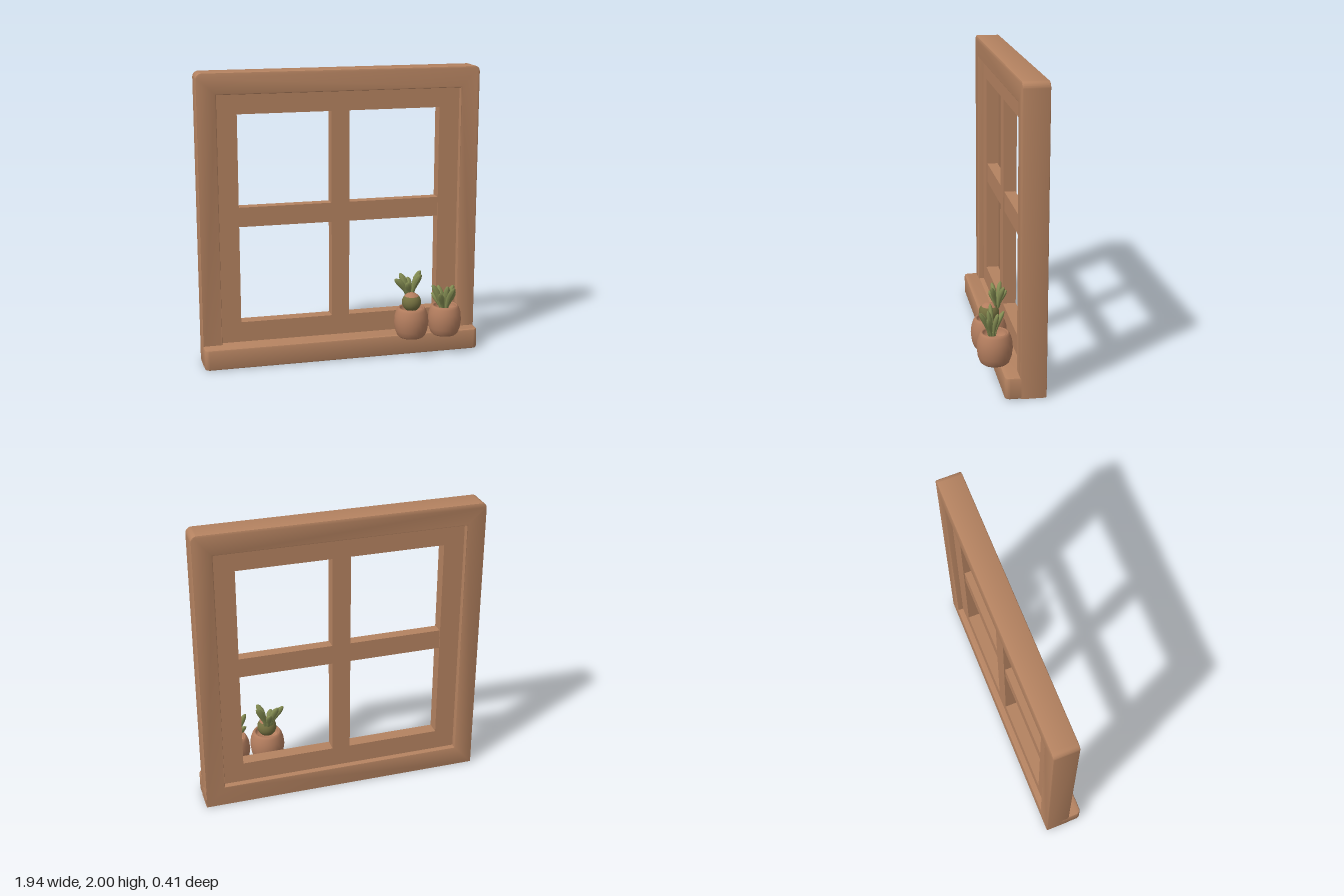
import * as THREE from 'three';
import { toCreasedNormals } from 'three/addons/utils/BufferGeometryUtils.js';

const mat = (name, color) => Object.assign(new THREE.MeshStandardMaterial({ color }), { name });

// Rectangle outline with its two upper corners rounded
function roundedTop(x0, y0, x1, y1, r) {
  const s = new THREE.Shape();
  s.moveTo(x0, y0);
  s.lineTo(x1, y0);
  s.lineTo(x1, y1 - r);
  s.absarc(x1 - r, y1 - r, r, 0, Math.PI / 2);
  s.lineTo(x0 + r, y1);
  s.absarc(x0 + r, y1 - r, r, Math.PI / 2, Math.PI);
  s.closePath();
  return s;
}

function rectHole(x0, y0, x1, y1) {
  return new THREE.Path([[x0, y0], [x0, y1], [x1, y1], [x1, y0]].map(p => new THREE.Vector2(...p)));
}

// Extrude from z0 to z1, softening the edges without growing the outline
function slab(shape, z0, z1, bevel) {
  const geo = new THREE.ExtrudeGeometry(shape, {
    depth: z1 - z0 - 2 * bevel, bevelEnabled: bevel > 0, bevelSize: bevel,
    bevelThickness: bevel, bevelOffset: -bevel, bevelSegments: 2, curveSegments: 6,
  });
  geo.translate(0, 0, z0 + bevel);
  return toCreasedNormals(geo, 0.6);
}

// Fleshy leaf from root to tip, bowed slightly at mid length
function leafGeometry(root, tip, width) {
  const dir = tip.clone().sub(root);
  const out = new THREE.Vector3(dir.x, 0, dir.z).multiplyScalar(-0.35);
  const len = dir.length();
  const profile = [[0, 0], [0.55, 0.03], [0.6, 0.25], [0.85, 0.5], [1, 0.7], [0.8, 0.87], [0.4, 0.97], [0, 1]]
    .map(([r, y]) => new THREE.Vector2(r * width, y * len));
  const geo = new THREE.LatheGeometry(profile, 10);
  geo.scale(1, 1, 0.7);
  geo.applyQuaternion(new THREE.Quaternion().setFromUnitVectors(new THREE.Vector3(0, 1, 0), dir.clone().normalize()));
  const p = geo.attributes.position, v = new THREE.Vector3();
  for (let i = 0; i < p.count; i++) {
    v.fromBufferAttribute(p, i);
    const t = THREE.MathUtils.clamp(v.dot(dir) / (len * len), 0, 1);
    v.addScaledVector(out, 2 * t * (1 - t)).add(root);
    p.setXYZ(i, v.x, v.y, v.z);
  }
  geo.computeVertexNormals();
  return geo;
}

export function createModel() {
  const wood = mat('wood', 0xb48260);
  const clay = mat('clay', 0xb37d5e);
  const leafGreen = mat('leafGreen', 0x838c52);
  const olive = mat('olive', 0x747040);

  const model = new THREE.Group();
  model.name = 'windowWithPlants';
  const add = (name, geo, material, parent = model) => {
    const mesh = new THREE.Mesh(geo, material);
    mesh.name = name;
    parent.add(mesh);
    return mesh;
  };

  // Outer frame
  const outer = roundedTop(-0.97, 0, 0.97, 2, 0.04);
  outer.holes.push(rectHole(-0.838, 0.145, 0.838, 1.855));
  add('outerFrame', slab(outer, -0.205, -0.035, 0.008), wood);

  // Recessed sash with its upright bar
  const sash = roundedTop(-0.845, 0.135, 0.845, 1.862, 0.001);
  sash.holes.push(rectHole(-0.7, 0.285, -0.062, 1.72), rectHole(0.062, 0.285, 0.697, 1.72));
  add('sash', slab(sash, -0.165, -0.075, 0), wood);

  // Cross bars, a little thinner than the sash
  for (const side of [-1, 1]) {
    const bar = add(side < 0 ? 'rightCrossBar' : 'leftCrossBar', new THREE.BoxGeometry(0.65, 0.134, 0.075), wood);
    bar.position.set(side * 0.38, 1.022, -0.12);
  }

  // Sill, drawn in plan with rounded front corners
  const sill = slab(roundedTop(-0.97, -0.2, 0.97, 0.06, 0.035), 0, 0.145, 0.012);
  sill.rotateX(-Math.PI / 2).rotateY(Math.PI);
  add('sill', sill, wood);

  // Pots
  const potProfile = [[0, 0], [0.085, 0], [0.098, 0.012], [0.112, 0.05], [0.12, 0.105], [0.115, 0.155], [0.102, 0.193],
    [0.093, 0.207], [0.085, 0.21], [0.077, 0.203], [0.074, 0.16], [0, 0.16]].map(p => new THREE.Vector2(...p));
  const plants = [
    {
      name: 'leftPlant', x: 0.467, scale: 1, root: [0.47, 0.43, 0.035], width: 0.024,
      tips: [[0.355, 0.555, 0.05], [0.405, 0.58, 0.0], [0.47, 0.54, -0.03], [0.555, 0.59, 0.0], [0.535, 0.585, 0.08], [0.435, 0.53, 0.08]],
    },
    {
      name: 'rightPlant', x: 0.71, scale: 0.97, root: [0.7, 0.32, 0.1], width: 0.023,
      tips: [[0.612, 0.51, 0.1], [0.645, 0.46, 0.165], [0.68, 0.48, 0.02], [0.745, 0.5, 0.19], [0.775, 0.49, 0.075],
        [0.715, 0.5, 0.13], [0.625, 0.44, 0.05], [0.765, 0.46, 0.14]],
    },
  ];
  for (const plant of plants) {
    const group = new THREE.Group();
    group.name = plant.name;
    model.add(group);
    const pot = add('pot', new THREE.LatheGeometry(potProfile, 28), clay, group);
    pot.position.set(plant.x, 0.145, 0.085);
    pot.scale.set(plant.scale, 1, plant.scale);
    const root = new THREE.Vector3(...plant.root);
    for (const tip of plant.tips) {
      const end = new THREE.Vector3(...tip);
      // Spread the roots slightly toward each tip
      const start = root.clone().add(new THREE.Vector3(end.x - root.x, 0, end.z - root.z).multiplyScalar(0.2));
      add('leaf', leafGeometry(start, end, plant.width), leafGreen, group);
    }
  }

  // Round bulb in the left pot, with a clay-coloured crown
  const cap = 0.85;
  for (const [name, from, to, material] of [['bulbCrown', 0, cap, clay], ['bulb', cap, Math.PI - cap, olive]]) {
    const part = add(name, new THREE.SphereGeometry(0.067, 20, 12, 0, Math.PI * 2, from, to), material, model.getObjectByName('leftPlant'));
    part.position.set(0.467, 0.392, 0.085);
  }
  return model;
}
